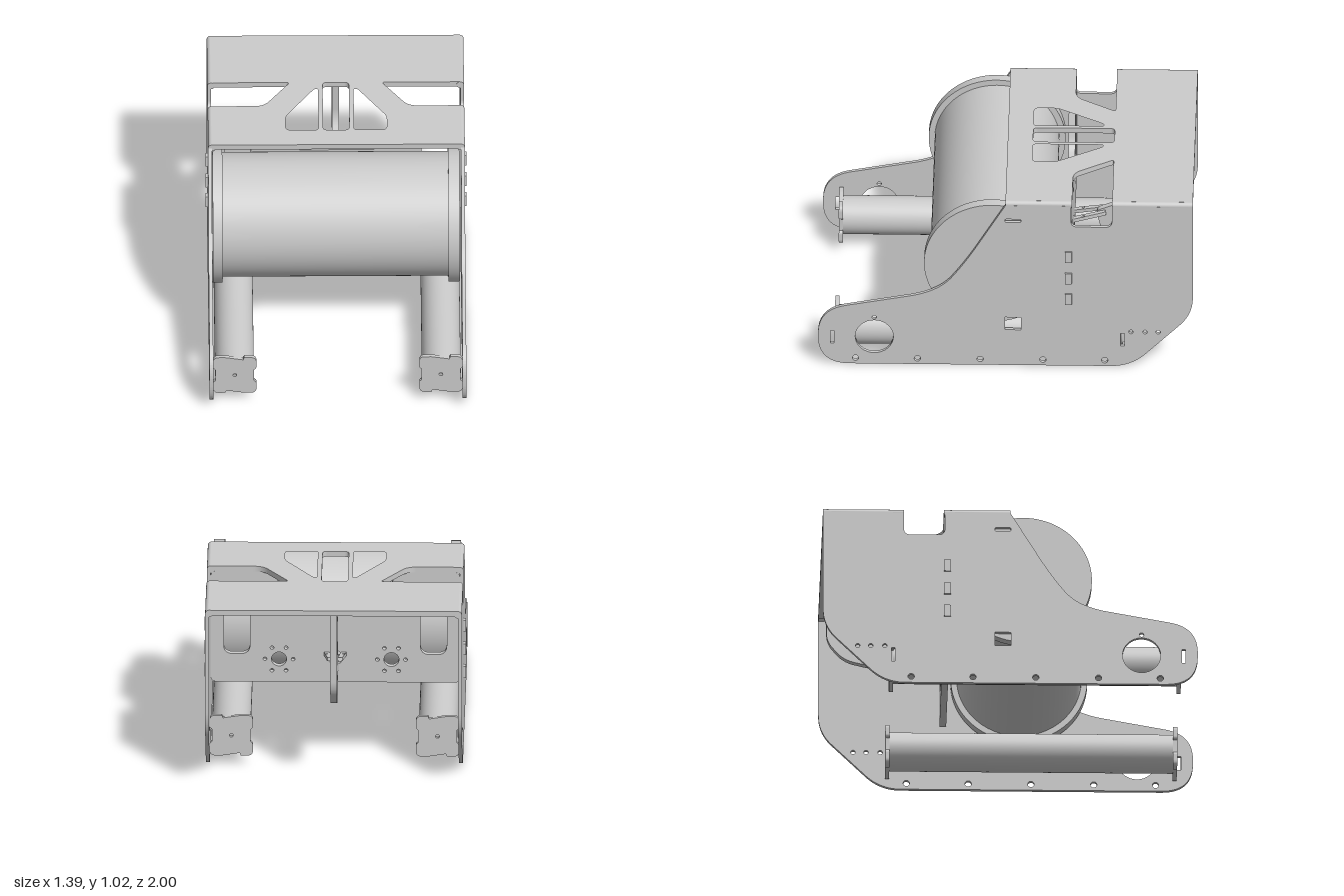
import * as THREE from 'three';

const material = new THREE.MeshStandardMaterial({ color: 0xcccccc });

// Trace a closed outline; each point is [u, v, cornerRadius]
function trace(path, pts) {
  const n = pts.length;
  for (let i = 0; i < n; i++) {
    const [x, y, r = 0] = pts[i];
    const cut = (q) => {
      const d = Math.hypot(q[0] - x, q[1] - y);
      const t = Math.min(r / d, 0.5);
      return [x + (q[0] - x) * t, y + (q[1] - y) * t];
    };
    const a = cut(pts[(i + n - 1) % n]);
    const b = cut(pts[(i + 1) % n]);
    if (i === 0) path.moveTo(...a);
    else path.lineTo(...a);
    if (r > 0) path.quadraticCurveTo(x, y, ...b);
  }
  path.closePath();
  return path;
}

const outline = (pts) => trace(new THREE.Shape(), pts);
const cutout = (pts) => trace(new THREE.Path(), pts);
const slot = (u, v, w, h, r = 0) => cutout([
  [u - w / 2, v - h / 2, r], [u + w / 2, v - h / 2, r],
  [u + w / 2, v + h / 2, r], [u - w / 2, v + h / 2, r],
]);
const round = (u, v, r) => new THREE.Path().absarc(u, v, r, 0, Math.PI * 2, true);
const mirrored = (pts) => pts.map(([u, v, r]) => [-u, v, r]).reverse();

function sheet(shape, holes, depth) {
  shape.holes.push(...holes);
  return new THREE.ExtrudeGeometry(shape, { depth, bevelEnabled: false, curveSegments: 16 });
}

export function createModel() {
  const group = new THREE.Group();
  const add = (name, geometry, x = 0, y = 0, z = 0) => {
    const mesh = new THREE.Mesh(geometry, material);
    mesh.name = name;
    mesh.position.set(x, y, z);
    group.add(mesh);
    return mesh;
  };
  // Sheet drawn in (z, y), its outer face at the given x
  const addUpright = (name, geometry, x) => add(name, geometry.rotateY(-Math.PI / 2), x);
  // Sheet drawn in (x, z), its upper face at the given y
  const addLevel = (name, geometry, y) => add(name, geometry.rotateX(Math.PI / 2), 0, y);

  // Side plates with their holes and the notch behind the top front panel
  const sidePoints = [
    [1, 0, 0.17], [1, 0.335, 0.15], [0.36, 0.455, 0.16], [0.22, 0.63, 0.14],
    [0, 1, 0], [-0.35, 1, 0], [-0.35, 0.87, 0.035], [-0.568, 0.87, 0.035],
    [-0.568, 1, 0], [-1, 1, 0], [-1, 0.33, 0.1], [-0.67, 0, 0.11],
  ];
  for (const side of [-1, 1]) {
    const holes = [
      ...[0.8, 0.47, 0.135, -0.2, -0.53].map((z) => round(z, 0.035, 0.017)),
      ...[-0.67, -0.745, -0.815].map((z) => round(z, 0.215, 0.012)),
      round(0.7, 0.17, 0.102), round(0.7, 0.29, 0.012),
      slot(0.925, 0.165, 0.02, 0.08), slot(-0.625, 0.165, 0.02, 0.08),
      slot(-0.04, 0.905, 0.085, 0.02, 0.008), slot(-0.04, 0.26, 0.085, 0.078),
    ];
    addUpright('sidePlate', sheet(outline(sidePoints), holes, 0.02), side > 0 ? 0.685 : -0.665);

    // Rounded bends joining the side plates to the top
    for (const [z0, z1] of [[-1, -0.568], [-0.355, 0]]) {
      const bend = new THREE.CylinderGeometry(0.02, 0.02, z1 - z0, 20).rotateX(Math.PI / 2);
      add('bentEdge', bend, side * 0.665, 1.002, (z0 + z1) / 2);
    }
  }

  // Top panel: wide front and rear, narrow neck and lightening windows
  const neck = [
    [0.667, 0, 0], [0.667, -0.355, 0], [0.385, -0.355, 0.05], [0.245, -0.57, 0.02],
    [0.667, -0.57, 0], [0.667, -1, 0],
  ];
  const wing = [
    [0.095, -0.135, 0.02], [0.27, -0.135, 0.03], [0.27, -0.26, 0.03],
    [0.115, -0.51, 0.015], [0.095, -0.51, 0.01],
  ];
  addLevel('topPanel', sheet(outline([...neck, ...mirrored(neck)]), [
    cutout(wing), cutout(mirrored(wing)), slot(0, -0.352, 0.14, 0.435, 0.025),
  ], 0.03), 1.022);

  // Drum with a larger flange at each end
  const drum = (name, r, x0, x1) => add(name,
    new THREE.CylinderGeometry(r, r, x1 - x0, 96).rotateZ(Math.PI / 2), (x0 + x1) / 2, 0.618, 0.07);
  drum('drum', 0.333, -0.62, 0.61);
  drum('drumFlange', 0.365, -0.663, -0.61);
  drum('drumFlange', 0.365, 0.595, 0.655);

  // Cross plate behind the drum, raised at both ends
  const half = [
    [0.665, 0.36, 0.03], [0.665, 0.992, 0.03], [0.32, 0.992, 0.03], [0.26, 0.76, 0.08],
  ];
  const plateHoles = [round(0, 0.5, 0.04)];
  for (const side of [-1, 1]) {
    plateHoles.push(slot(side * 0.525, 0.68, 0.14, 0.32, 0.05), round(side * 0.3, 0.49, 0.04));
    for (let i = 0; i < 6; i++) {
      const a = (i * Math.PI) / 3;
      plateHoles.push(round(side * 0.3 + 0.075 * Math.cos(a), 0.49 + 0.075 * Math.sin(a), 0.01));
    }
    // Tabs showing through the side plates
    for (const y of [0.42, 0.55, 0.685]) {
      add('plateTab', new THREE.BoxGeometry(0.04, 0.065, 0.036), side * 0.677, y, -0.336);
    }
  }
  add('crossPlate', sheet(outline([...half, ...mirrored(half)]), plateHoles, 0.036), 0, 0, -0.354);

  // Central hanging rib
  addUpright('centreRib', sheet(outline([
    [-0.97, 0.992, 0], [-0.97, 0.55, 0.05], [-0.88, 0.44, 0.06], [-0.72, 0.4, 0.05],
    [-0.5, 0.44, 0.03], [-0.47, 0.56, 0.03], [-0.62, 0.62, 0.05], [-0.68, 0.72, 0.05],
    [-0.66, 0.992, 0],
  ]), [
    slot(-0.83, 0.79, 0.13, 0.27, 0.04), round(-0.88, 0.58, 0.03), round(-0.73, 0.52, 0.03),
  ], 0.036), 0.018);

  // Small keyhole bracket between the rib and the cross plate
  const bracket = addLevel('keyholeBracket', sheet(outline([
    [-0.04, -0.53, 0.01], [0.04, -0.53, 0.01], [0.07, -0.28, 0.04], [-0.07, -0.28, 0.04],
  ]), [
    cutout([[-0.018, -0.5, 0.01], [0.018, -0.5, 0.01], [0.035, -0.32, 0.01], [-0.035, -0.32, 0.01]]),
    round(0.045, -0.41, 0.007), round(-0.045, -0.41, 0.007),
  ], 0.02), 0.46);
  bracket.rotation.x = 0.2;

  // Rails along both sides, closed by notched end plates
  const capPoints = [
    [0.05, -0.115, 0], [0.115, -0.115, 0.03], [0.115, -0.045, 0.01], [0.103, -0.035, 0],
    [0.103, 0.035, 0], [0.115, 0.045, 0.01], [0.115, 0.115, 0.03], [0.05, 0.115, 0], [0.045, 0.1, 0],
  ];
  const leftHalf = capPoints.map(([u, v, r]) => [-u, -v, r]);
  for (const side of [-1, 1]) {
    const rail = new THREE.CylinderGeometry(0.104, 0.104, 1.52, 64).rotateX(Math.PI / 2);
    add('rail', rail, side * 0.552, 0.165, 0.135);
    for (const z of [0.89, -0.645]) {
      const cap = sheet(outline([...capPoints, ...leftHalf]), [round(0, 0, 0.01)], 0.022);
      add('railEndPlate', cap, side * 0.55, 0.165, z);
    }
  }
  return group;
}
